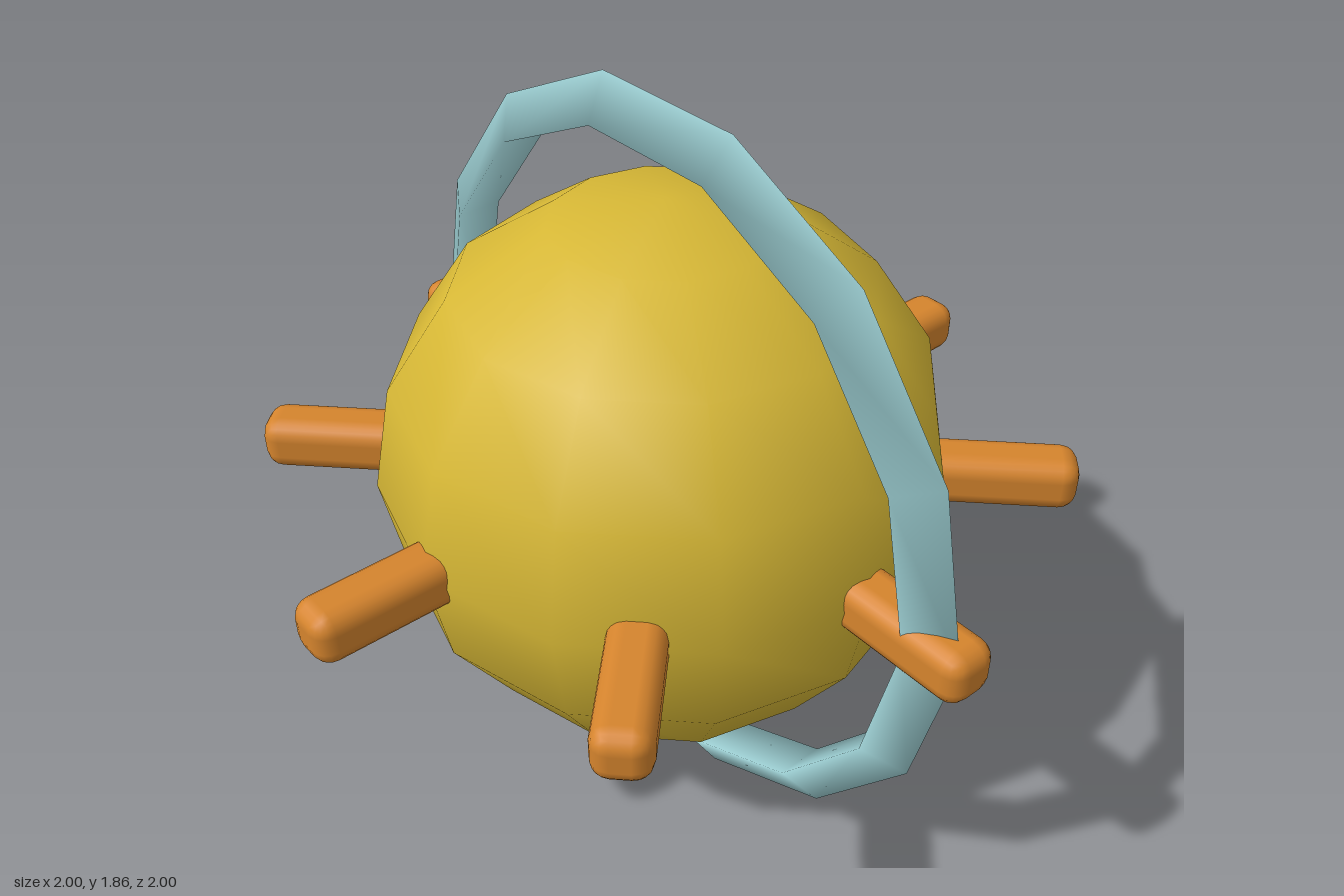
import * as THREE from 'three';
import { RoundedBoxGeometry } from 'three/addons/geometries/RoundedBoxGeometry.js';

const CENTER_Y = 0.93;

function material(name, color) {
  const m = new THREE.MeshStandardMaterial({ color });
  m.name = name;
  return m;
}

export function createModel() {
  const gold = material('gold', 0xd6b735);
  const orange = material('orange', 0xd5842d);
  const paleBlue = material('pale blue', 0x9fd2d6);

  const model = new THREE.Group();
  model.name = 'ringedOrb';

  function add(name, geometry, mat) {
    const mesh = new THREE.Mesh(geometry, mat);
    mesh.name = name;
    mesh.position.y = CENTER_Y;
    model.add(mesh);
    return mesh;
  }

  // Round core with few segments and smooth shading
  add('core', new THREE.SphereGeometry(0.703, 12, 8), gold);

  // Upright ring: three-sided section with its edge pointing outward
  add('ring', new THREE.TorusGeometry(0.8825, 0.0715, 3, 14), paleBlue);

  // Eight rounded spokes around the equator, rooted inside the core
  const inner = 0.5, outer = 1.0, width = 0.135;
  const spoke = new RoundedBoxGeometry(outer - inner, width, width, 2, 0.045);
  spoke.translate((inner + outer) / 2, 0, 0);
  for (let i = 0; i < 8; i++) {
    add('spoke' + (i + 1), spoke, orange).rotation.y = (i * Math.PI) / 4;
  }

  return model;
}
